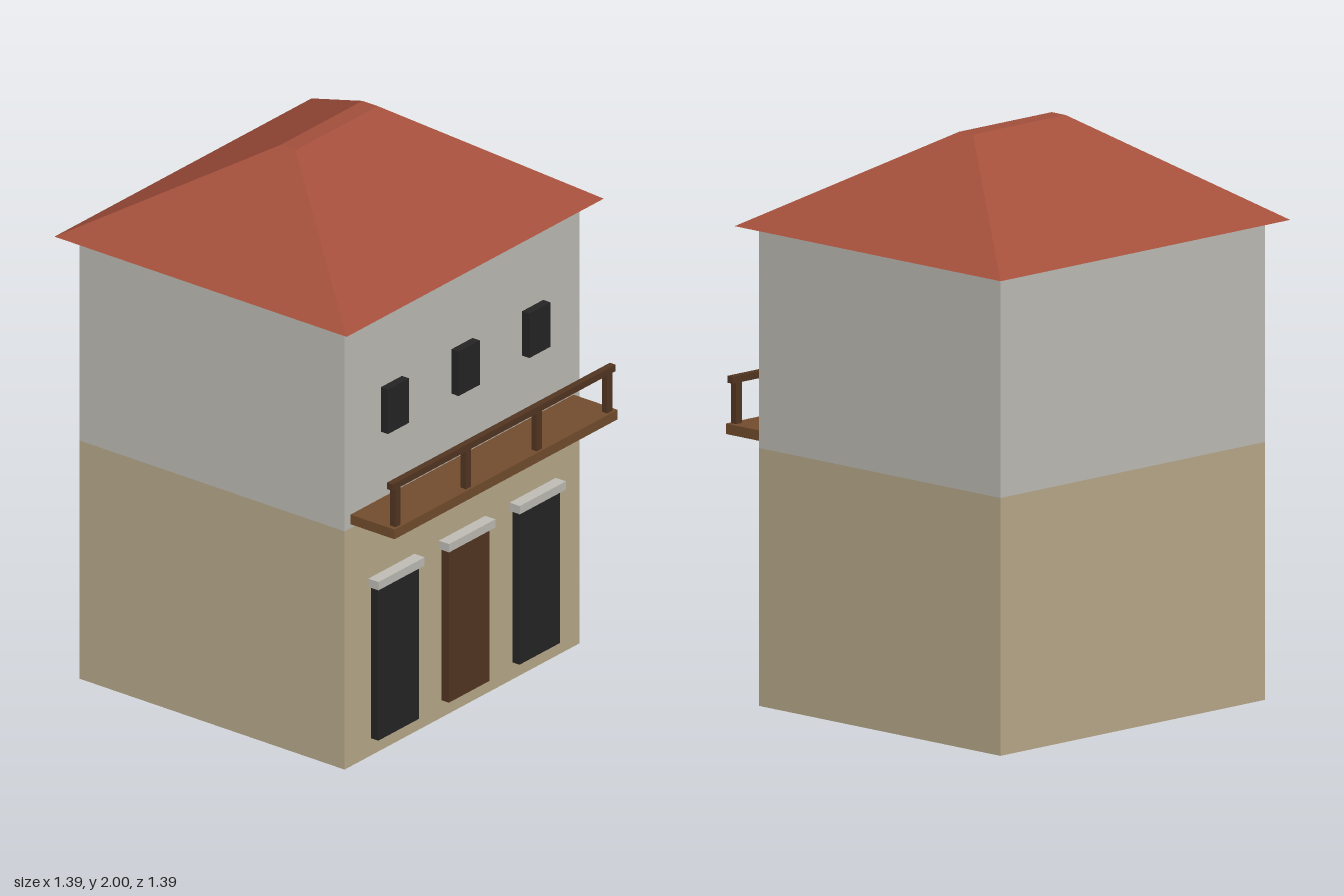
import * as THREE from 'three';

const mat = (name, color) => {
  const m = new THREE.MeshStandardMaterial({ color });
  m.name = name;
  return m;
};

export function createModel() {
  const house = new THREE.Group();
  house.name = 'house';

  const plaster = mat('pale plaster', 0xc0beb7);
  const sandstone = mat('sandstone', 0xbbab8c);
  const tile = mat('red roof tile', 0xa4503c);
  const darkWood = mat('dark wood', 0x543622);
  const deckWood = mat('deck wood', 0x744e2e);
  const black = mat('black', 0x252525);

  // Box given by its limits on each axis
  const box = (name, material, [x0, x1], [y0, y1], [z0, z1], parent = house) => {
    const mesh = new THREE.Mesh(new THREE.BoxGeometry(x1 - x0, y1 - y0, z1 - z0), material);
    mesh.position.set((x0 + x1) / 2, (y0 + y1) / 2, (z0 + z1) / 2);
    mesh.name = name;
    parent.add(mesh);
    return mesh;
  };
  const around = (x, width) => [x - width / 2, x + width / 2];

  // Two storeys
  const wall = 0.51;
  box('groundFloor', sandstone, [-0.635, 0.635], [0, 0.89], [-0.635, wall]);
  box('upperFloor', plaster, [-0.635, 0.635], [0.89, 1.656], [-0.635, wall]);

  // Hipped roof: a box whose top is drawn in to a narrow flat ridge
  const roof = box('roof', tile, [-0.695, 0.695], [1.656, 2], [-0.695, 0.567]);
  const p = roof.geometry.attributes.position;
  for (let i = 0; i < p.count; i++) {
    if (p.getY(i) > 0) {
      p.setX(i, Math.sign(p.getX(i)) * 0.222);
      p.setZ(i, Math.sign(p.getZ(i)) * 0.033);
    }
  }
  roof.geometry.computeVertexNormals();

  // Three bays: a window above, a door or shutter with its lintel below
  for (const x of [-0.382, 0, 0.382]) {
    box('window', black, around(x, 0.114), [1.19, 1.356], [wall, 0.541]);
    box(x === 0 ? 'door' : 'shutter', x === 0 ? darkWood : black,
      around(x, 0.22), [0.064, 0.635], [wall, 0.541]);
    box('lintel', plaster, around(x, 0.25), [0.635, 0.666], [wall, 0.554]);
  }

  // Balcony
  const balcony = new THREE.Group();
  balcony.name = 'balcony';
  house.add(balcony);
  box('deck', deckWood, [-0.603, 0.603], [0.905, 0.941], [wall, 0.7], balcony);
  box('handrail', darkWood, [-0.603, 0.603], [1.083, 1.107], [0.667, 0.692], balcony);
  for (const x of [-0.572, -0.191, 0.191, 0.572]) {
    box('railPost', darkWood, around(x, 0.028), [0.941, 1.083], [0.668, 0.691], balcony);
  }

  return house;
}
